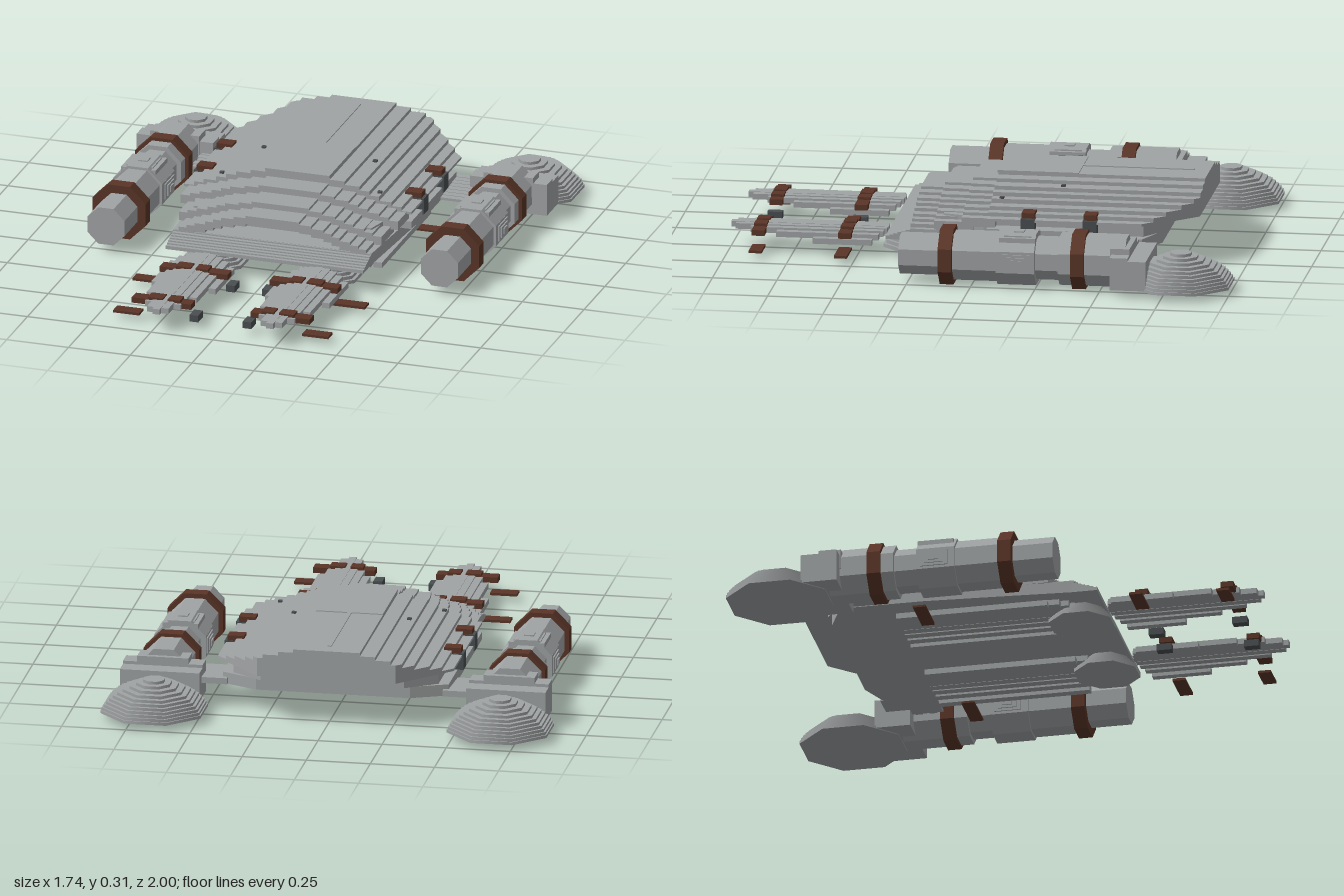
import * as THREE from 'three';

const steel = new THREE.MeshStandardMaterial({ color: 0xa0a3a4 });
steel.name = 'steel grey';
const leather = new THREE.MeshStandardMaterial({ color: 0x5a3527 });
leather.name = 'leather brown';
const iron = new THREE.MeshStandardMaterial({ color: 0x4a4e51 });
iron.name = 'dark iron';

function group(parent, name) {
  const g = new THREE.Group();
  g.name = name;
  parent.add(g);
  return g;
}

function add(parent, name, geo, mat) {
  const m = new THREE.Mesh(geo, mat);
  m.name = name;
  parent.add(m);
  return m;
}

// Box given by its limits on each axis
function box(parent, name, [x0, x1], [y0, y1], [z0, z1], mat = steel) {
  const m = add(parent, name, new THREE.BoxGeometry(x1 - x0, y1 - y0, z1 - z0), mat);
  m.position.set((x0 + x1) / 2, (y0 + y1) / 2, (z0 + z1) / 2);
  return m;
}

// Horizontal slab with an outline in (x, z)
function slab(parent, name, points, y0, y1) {
  const shape = new THREE.Shape(points.map(([x, z]) => new THREE.Vector2(x, -z)));
  const geo = new THREE.ExtrudeGeometry(shape, { depth: y1 - y0, bevelEnabled: false });
  geo.rotateX(-Math.PI / 2);
  geo.translate(0, y0, 0);
  return add(parent, name, geo, steel);
}

const mirrored = (half) => [...half, ...half.slice().reverse().map(([x, z]) => [-x, z])];

// Octagonal prism along z
function octagon(parent, name, r, z0, z1, mat = steel, inset = 0) {
  const c = Math.cos(Math.PI / 8);
  const corners = (q) => Array.from({ length: 8 }, (_, i) => {
    const a = Math.PI / 8 + i * Math.PI / 4;
    return new THREE.Vector2(Math.cos(a) * q / c, Math.sin(a) * q / c);
  });
  const s = new THREE.Shape(corners(r));
  if (inset) s.holes.push(new THREE.Path(corners(inset).reverse()));
  const m = add(parent, name, new THREE.ExtrudeGeometry(s, { depth: z1 - z0, bevelEnabled: false }), mat);
  m.position.set(0, 0.11, z0);
  return m;
}

// Half the stepped cross-section of the breastplate: [inner x, outer x, drop]
const ARCH = [
  [0, 0.13, 0], [0.13, 0.19, 0.013], [0.19, 0.25, 0.027], [0.25, 0.29, 0.042],
  [0.29, 0.33, 0.058], [0.33, 0.38, 0.075], [0.38, 0.42, 0.09], [0.42, 0.46, 0.105],
];

function buildTorso(root) {
  const g = group(root, 'cuirass');

  // Breastplate: solid strips of falling height, cut off diagonally at the neck end
  const back = (x) => (x <= 0.27 ? -0.82 : -0.82 + (x - 0.27) * 1.05);
  for (const [a, b, drop] of ARCH) {
    for (const s of [1, -1]) {
      const outline = [[a, -0.02], [b, -0.02], [b, back(b)]];
      if (a < 0.27 && b > 0.27) outline.push([0.27, -0.82]);
      outline.push([a, back(a)]);
      slab(g, 'breastplateStrip', outline.map(([x, z]) => [s * x, z]), 0.19, 0.305 - drop);
    }
  }
  box(g, 'breastRidge', [-0.008, 0.008], [0.3, 0.309], [-0.76, -0.33]);
  slab(g, 'chestPlate', mirrored([[0.13, -0.015], [0.13, -0.33]]), 0.3, 0.309);
  for (const s of [1, -1]) {
    for (const [x, y, z] of [[0.225, 0.281, -0.285], [0.32, 0.25, -0.06]]) {
      box(g, 'rivet', [s * x - 0.008, s * x + 0.008], [y - 0.006, y + 0.004], [z - 0.008, z + 0.008], iron);
    }
  }

  // Overlapping waist lames, stepping down toward the belt
  const lames = [[0.44, 0.275, -0.05, 0.08], [0.41, 0.25, 0.04, 0.19], [0.38, 0.228, 0.15, 0.285]];
  for (const [w, top, z0, z1] of lames) {
    for (const [a, b, drop] of ARCH) {
      const k = w / 0.46, y = top - drop * 0.75;
      if (a === 0) box(g, 'waistLame', [-b * k, b * k], [y - 0.035, y], [z0, z1]);
      else for (const s of [1, -1]) {
        const xs = [s * a * k, s * b * k].sort((p, q) => p - q);
        box(g, 'waistLame', xs, [y - 0.035, y], [z0, z1]);
      }
    }
  }

  // Backplate under the breastplate
  slab(g, 'backplate', mirrored([[0.4, 0.28], [0.42, 0], [0.44, -0.3], [0.44, -0.62], [0.3, -0.68]]), 0.09, 0.135);
  slab(g, 'innerBody', mirrored([[0.36, 0.16], [0.4, 0], [0.4, -0.62], [0.28, -0.7]]), 0.135, 0.19);

  // Belt of narrow steps
  for (let i = 0; i < 7; i++) {
    const z = 0.27 + i * 0.0157;
    box(g, 'beltStep', [-0.4, 0.4], [0.09, 0.134 - i * 0.005], [z, z + 0.0157]);
  }

  for (const s of [1, -1]) {
    const side = group(g, s > 0 ? 'leftSide' : 'rightSide');
    const span = (a, b) => (s > 0 ? [a, b] : [-b, -a]);
    // Ribbed armhole flange
    for (let i = 0; i < 8; i++) {
      const z = -0.645 + i * 0.027;
      box(side, 'armholeRib', span(0.42, 0.57 - (i % 2) * 0.006), [0.093, 0.117 - i * 0.002], [z, z + 0.027]);
    }
    box(side, 'sidePlate', span(0.4, 0.46), [0.13, 0.16], [-0.4, -0.02]);
    // Side buckles and straps
    for (const z of [-0.42, -0.18]) {
      box(side, 'sideStrap', span(0.39, 0.455), [0.2, 0.226], [z - 0.025, z + 0.025], leather);
      box(side, 'sideBuckle', span(0.425, 0.466), [0.14, 0.205], [z - 0.027, z + 0.027], iron);
    }
    box(side, 'looseStrap', span(0.36, 0.53), [0.024, 0.032], [-0.315, -0.265], leather);
  }
}

// Ribbed half shell along z: strips on an arch, the outer ones shorter
function ribShell(parent, name, cx, w, y0, h, z0, z1, taper) {
  const n = 9;
  for (let i = 0; i < n; i++) {
    const t = (i + 0.5) / n * 2 - 1, d = Math.abs(t);
    const x = cx + t * w, half = w / n;
    const y = y0 + h * Math.sqrt(1 - d * d * 0.95);
    box(parent, name, [x - half, x + half], [y - 0.022, y], [z0 + d * d * taper * 0.15, z1 - d * d * taper]);
  }
}

function buildLeg(root, s) {
  const g = group(root, s > 0 ? 'leftLeg' : 'rightLeg');
  const cx = 0.23;
  ribShell(g, 'thighRib', 0.26, 0.15, 0.035, 0.055, -0.42, 0.28, 0.12);
  ribShell(g, 'greaveRib', cx, 0.13, 0.045, 0.055, 0.39, 1, 0.42);
  // Knee cap: stacked octagonal layers with a flat underside
  for (let i = 0; i < 6; i++) {
    const r = 0.13 - i * 0.013;
    const m = add(g, 'kneeLayer', new THREE.CylinderGeometry(r, r, 0.014, 8), steel);
    m.rotation.y = Math.PI / 8;
    m.position.set(cx, 0.035 + i * 0.0135, 0.285);
  }
  // Straps over each greave, with a loose end on the outside
  for (const [z, inner, outer] of [[0.545, 0.085, 0.47], [0.88, 0.12, 0.435]]) {
    const zs = [z - 0.025, z + 0.025];
    box(g, 'greaveStrap', [0.165, 0.215], [0.092, 0.106], zs, leather);
    box(g, 'greaveStrap', [0.235, 0.295], [0.092, 0.106], zs, leather);
    box(g, 'greaveStrap', [inner, 0.165], [0.074, 0.096], zs, leather);
    box(g, 'greaveStrap', [0.295, 0.36], [0.074, 0.096], zs, leather);
    box(g, 'greaveBuckle', [inner - 0.03, inner + 0.005], [0.028, 0.055], [z - 0.029, z + 0.029], iron);
    box(g, 'greaveLooseStrap', [0.33, outer], [0.024, 0.034], zs, leather);
  }
  if (s < 0) swapSide(g);
}

function buildArm(root, s) {
  const g = group(root, s > 0 ? 'leftArm' : 'rightArm');
  const a = group(g, 'armGuard');
  a.position.x = 0.675;
  octagon(a, 'forearm', 0.075, -0.15, 0.28);
  octagon(a, 'cuff', 0.09, -0.1, 0.11);
  octagon(a, 'elbow', 0.1, -0.25, -0.1);
  octagon(a, 'upperArm', 0.078, -0.36, -0.24);
  octagon(a, 'upperArmSleeve', 0.095, -0.6, -0.34);
  octagon(a, 'wristBand', 0.108, 0.07, 0.123, leather, 0.07);
  octagon(a, 'upperArmBand', 0.108, -0.443, -0.39, leather, 0.07);
  // Stepped elbow point
  for (let i = 0; i < 4; i++) {
    const r = 0.07 - i * 0.017;
    box(a, 'elbowStep', [-r, r], [0.11, 0.2 + i * 0.005], [-0.18 - r, -0.18 + r]);
    box(a, 'elbowWing', [-0.1 - i * 0.005, 0.1 + i * 0.005], [0.11 - r * 0.6, 0.11 + r * 0.6], [-0.18 - r, -0.18 + r]);
  }
  // Shoulder collar
  box(a, 'collarFront', [-0.155, 0.155], [0.03, 0.157], [-0.62, -0.55]);
  box(a, 'collarBack', [-0.155, 0.155], [0.03, 0.145], [-0.69, -0.6]);
  box(a, 'collarRidge', [-0.1, 0.1], [0.1, 0.18], [-0.62, -0.545]);
  // Shoulder dome: stacked octagons
  const radii = [0.195, 0.19, 0.183, 0.174, 0.163, 0.15, 0.134, 0.114, 0.09, 0.065, 0.04];
  radii.forEach((r, i) => {
    const q = r / Math.cos(Math.PI / 8);
    const m = add(a, 'shoulderLayer', new THREE.CylinderGeometry(q, q, 0.0115, 8), steel);
    m.rotation.y = Math.PI / 8;
    m.position.set(0, 0.033 + i * 0.0113, -0.805);
  });
  if (s < 0) swapSide(g);
}

// Move a finished limb to the other side; each mesh is itself symmetric in x
function swapSide(g) {
  g.traverse((o) => { o.position.x *= -1; });
}

export function createModel() {
  const root = new THREE.Group();
  root.name = 'armourSet';
  buildTorso(root);
  for (const s of [1, -1]) {
    buildLeg(root, s);
    buildArm(root, s);
  }
  return root;
}
